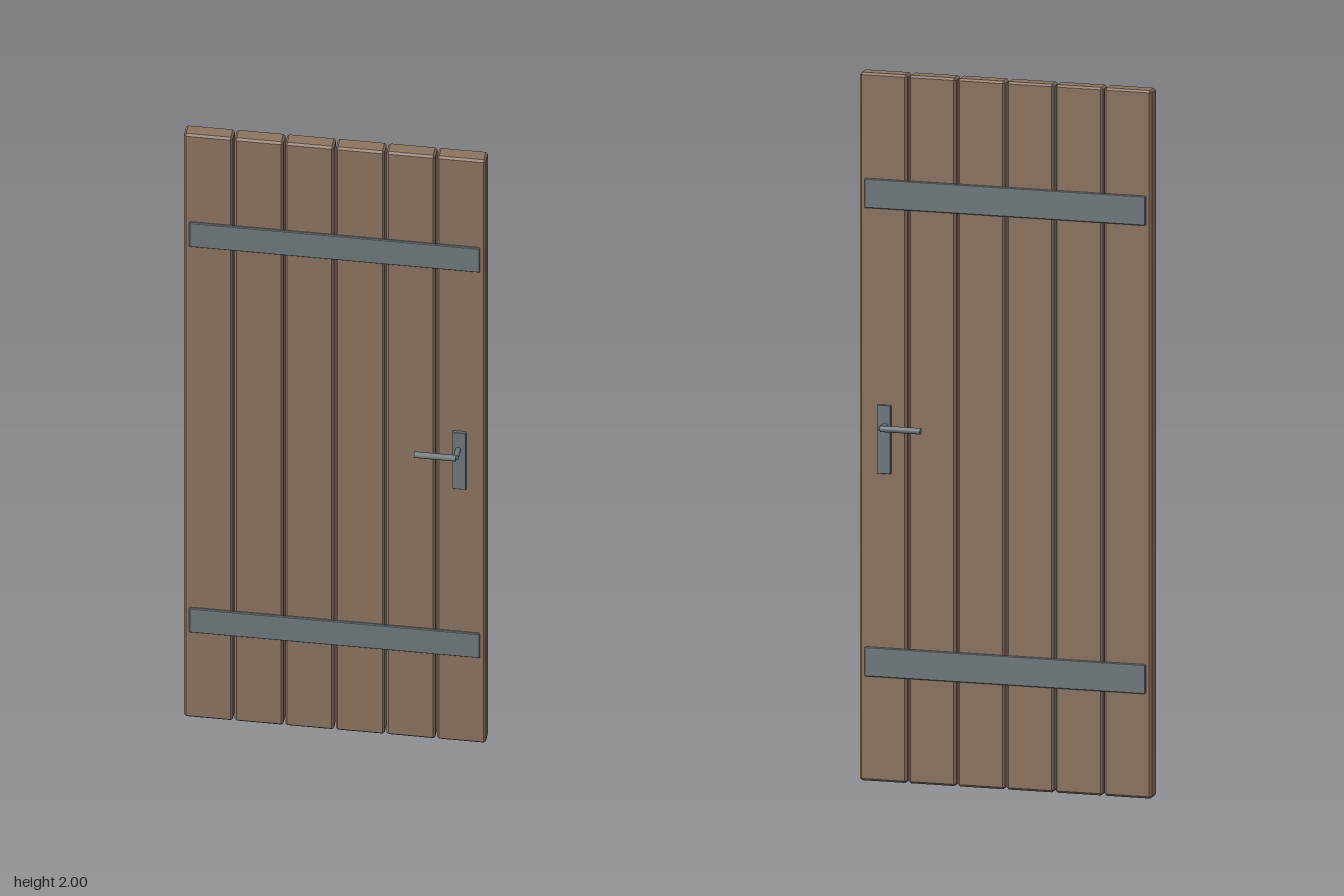
import * as THREE from 'three';
import { ConvexGeometry } from 'three/addons/geometries/ConvexGeometry.js';

// Box with every edge chamfered by c
function chamferBox(w, h, d, c) {
  const half = [w / 2, h / 2, d / 2];
  const points = [];
  for (const sx of [-1, 1]) for (const sy of [-1, 1]) for (const sz of [-1, 1]) {
    for (let full = 0; full < 3; full++) {
      const p = half.map((v, i) => (i === full ? v : v - c));
      points.push(new THREE.Vector3(p[0] * sx, p[1] * sy, p[2] * sz));
    }
  }
  return new ConvexGeometry(points);
}

export function createModel() {
  const wood = new THREE.MeshStandardMaterial({ color: 0x8c7461 });
  wood.name = 'wood';
  const steel = new THREE.MeshStandardMaterial({ color: 0x70797d });
  steel.name = 'steel';

  const door = new THREE.Group();
  door.name = 'door';
  const add = (parent, name, geometry, material, x, y, z) => {
    const mesh = new THREE.Mesh(geometry, material);
    mesh.name = name;
    mesh.position.set(x, y, z);
    parent.add(mesh);
    return mesh;
  };

  // Six upright planks with narrow gaps
  const plankGeometry = chamferBox(0.1365, 2, 0.0486, 0.006);
  for (let i = 0; i < 6; i++) {
    add(door, `plank${i + 1}`, plankGeometry, wood, (i - 2.5) * 0.1414, 1, 0);
  }

  // Straps and handles on both faces
  const strapGeometry = chamferBox(0.812, 0.083, 0.0085, 0.002);
  const plateGeometry = chamferBox(0.038, 0.194, 0.011, 0.001);
  const spindleGeometry = new THREE.CylinderGeometry(0.008, 0.008, 0.047, 12);
  spindleGeometry.rotateX(Math.PI / 2);
  const leverGeometry = new THREE.CylinderGeometry(0.009, 0.009, 0.116, 12);
  leverGeometry.rotateZ(Math.PI / 2);

  for (const [side, s] of [['front', 1], ['back', -1]]) {
    add(door, `${side}UpperStrap`, strapGeometry, steel, 0, 1.661, s * 0.0264);
    add(door, `${side}LowerStrap`, strapGeometry, steel, 0, 0.338, s * 0.0264);

    const handle = new THREE.Group();
    handle.name = `${side}Handle`;
    add(handle, 'plate', plateGeometry, steel, 0.349, 0.969, s * 0.0275);
    add(handle, 'spindle', spindleGeometry, steel, 0.346, 1.008, s * 0.0478);
    add(handle, 'lever', leverGeometry, steel, 0.288, 1.008, s * 0.0735);
    door.add(handle);
  }
  return door;
}
